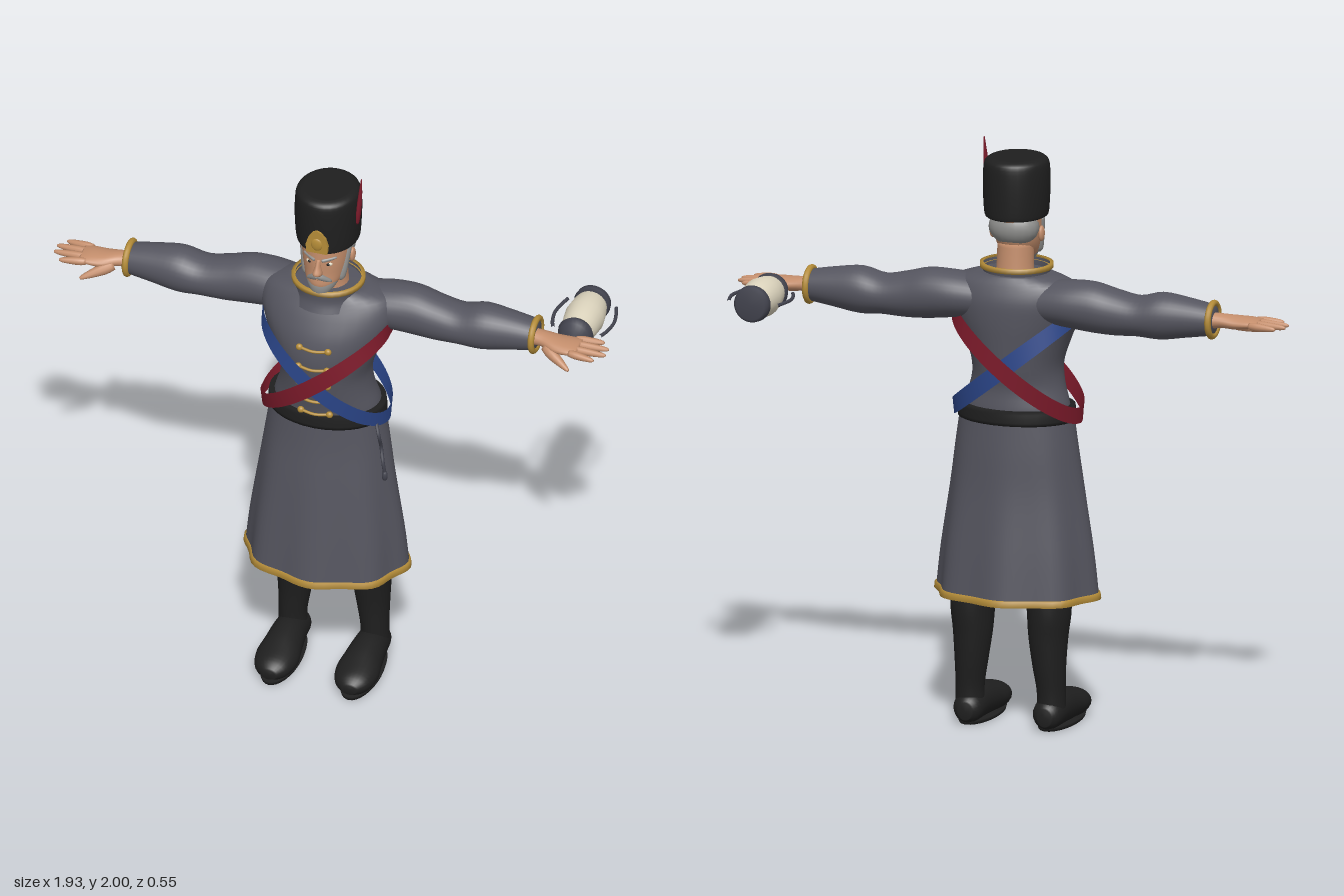
import * as THREE from 'three';

const mat = (name, color, side = THREE.FrontSide) => {
  const m = new THREE.MeshStandardMaterial({ color, side });
  m.name = name;
  return m;
};

// Smooth skin over elliptical rings [height, centreU, centreV, radiusU, radiusV]
function loft(rings, { n = 32, sub = 4, caps = true, wave = () => 1 } = {}) {
  const rows = [];
  for (let i = 0; i < rings.length - 1; i++) {
    const [a, b, c, d] = [-1, 0, 1, 2].map(k => rings[Math.min(Math.max(i + k, 0), rings.length - 1)]);
    for (let s = 0; s < sub; s++) {
      const t = s / sub;
      rows.push(b.map((_, k) => 0.5 * (2 * b[k] + (c[k] - a[k]) * t
        + (2 * a[k] - 5 * b[k] + 4 * c[k] - d[k]) * t * t
        + (3 * b[k] - a[k] - 3 * c[k] + d[k]) * t * t * t)));
    }
  }
  rows.push(rings[rings.length - 1]);
  if (caps) {
    const flat = r => [r[0], r[1], r[2], 0.0005, 0.0005];
    rows.unshift(flat(rows[0]));
    rows.push(flat(rows[rows.length - 1]));
  }
  const pos = [], idx = [];
  rows.forEach(([y, u, v, ru, rv], i) => {
    for (let j = 0; j < n; j++) {
      const a = j / n * Math.PI * 2, w = wave(a, y);
      pos.push(u + ru * w * Math.cos(a), y, v + rv * w * Math.sin(a));
      if (i === rows.length - 1) continue;
      const p = i * n + j, q = i * n + (j + 1) % n;
      idx.push(p, p + n, q, q, p + n, q + n);
    }
  });
  const g = new THREE.BufferGeometry();
  g.setAttribute('position', new THREE.Float32BufferAttribute(pos, 3));
  g.setIndex(idx);
  g.computeVertexNormals();
  return g;
}

const ball = (x, y, z, rx, ry, rz) => new THREE.SphereGeometry(1, 20, 14).scale(rx, ry, rz).translate(x, y, z);
const tube = (pts, r, seg = 20) =>
  new THREE.TubeGeometry(new THREE.CatmullRomCurve3(pts.map(p => new THREE.Vector3(...p))), seg, r, 8);

// Rounded tapering rod between two points
function rod(a, b, r0, r1) {
  const d = new THREE.Vector3(...b).sub(new THREE.Vector3(...a)), L = d.length();
  const g = loft([[0, 0, 0, r0 * 0.8, r0 * 0.8], [L * 0.3, 0, 0, r0, r0], [L * 0.85, 0, 0, r1, r1], [L, 0, 0, r1 * 0.4, r1 * 0.4]], { n: 10, sub: 3 });
  g.applyQuaternion(new THREE.Quaternion().setFromUnitVectors(new THREE.Vector3(0, 1, 0), d.normalize()));
  return g.translate(...a);
}

function mirrored(g) {
  const m = g.clone().scale(-1, 1, 1), ix = m.index;
  for (let i = 0; i < ix.count; i += 3) {
    const t = ix.getX(i);
    ix.setX(i, ix.getX(i + 1));
    ix.setX(i + 1, t);
  }
  return m;
}

// Flat sash looping from one armpit to the opposite hip
function sash(side) {
  const n = 64, pos = [], idx = [], w = 0.028;
  for (let i = 0; i < n; i++) {
    const a = i / n * Math.PI * 2, c = Math.cos(a), s = Math.sin(a);
    const x = side * 0.22 * c, y = 1.245 - 0.175 * c, z = 0.06 + 0.177 * s;
    pos.push(x - side * w * 0.4 * Math.abs(s), y - w, z, x + side * w * 0.4 * Math.abs(s), y + w, z);
    const p = 2 * i, q = 2 * ((i + 1) % n);
    idx.push(p, p + 1, q, q, p + 1, q + 1);
  }
  const g = new THREE.BufferGeometry();
  g.setAttribute('position', new THREE.Float32BufferAttribute(pos, 3));
  g.setIndex(idx);
  g.computeVertexNormals();
  return g;
}

export function createModel() {
  const root = new THREE.Group();
  const D = THREE.DoubleSide;
  const coat = mat('coat grey', 0x55555f, D), black = mat('black', 0x1f1f1f), gold = mat('gold', 0xb48c38, D),
    skin = mat('skin', 0xc48e6c), hair = mat('hair grey', 0x8e8e8c), red = mat('red', 0x7c1a2a, D),
    blue = mat('blue', 0x2b468a, D), cream = mat('cream', 0xddd5be), iron = mat('iron grey', 0x42434e);
  const add = (name, g, m) => {
    const mesh = new THREE.Mesh(g, m);
    mesh.name = name;
    root.add(mesh);
  };
  const pair = (name, g, m) => { add('left ' + name, g, m); add('right ' + name, mirrored(g), m); };

  // Coat body, belt and flared skirt with soft folds
  add('torso', loft([[1.05, 0, .05, .185, .135], [1.1, 0, .05, .182, .135], [1.17, 0, .06, .16, .138], [1.24, 0, .06, .155, .15],
    [1.32, 0, .06, .18, .157], [1.4, 0, .05, .215, .152], [1.47, 0, .035, .235, .135], [1.525, 0, .028, .215, .11], [1.555, 0, .03, .13, .095]]), coat);
  add('belt', loft([[1.05, 0, .05, .203, .15], [1.075, 0, .05, .203, .15], [1.1, 0, .05, .2, .148]], { sub: 2 }), black);
  const wave = (a, y) => 1 + 0.035 * Math.cos(8 * (a - Math.PI / 2)) * Math.max(0, (1.06 - y) / 0.62);
  add('skirt', loft([[.445, 0, .055, .275, .206], [.6, 0, .055, .26, .19], [.8, 0, .055, .232, .167], [.95, 0, .05, .212, .152], [1.07, 0, .05, .195, .142]],
    { n: 64, caps: false, wave }), coat);
  add('skirt hem', loft([[.438, 0, .055, .274, .205], [.44, 0, .055, .282, .212], [.46, 0, .055, .28, .21], [.463, 0, .055, .272, .203]],
    { n: 64, sub: 1, caps: false, wave }), gold);

  // Standing collar
  add('collar', loft([[1.5, 0, .05, .122, .118], [1.535, 0, .047, .112, .108], [1.575, 0, .045, .118, .11]], { caps: false }), coat);
  add('collar trim', loft([[1.566, 0, .045, .112, .104], [1.566, 0, .045, .124, .116], [1.582, 0, .045, .124, .116], [1.582, 0, .045, .112, .104]],
    { sub: 1, caps: false }), gold);

  // Sashes
  add('blue sash', sash(1), blue);
  add('red sash', sash(-1).scale(1.01, 1, 1.02), red);

  // Button rows joined by cords
  [[1.38, .207], [1.31, .218], [1.24, .212], [1.17, .203], [1.11, .19]].forEach(([y, z]) => {
    pair('button', ball(.05, y, z, .012, .012, .01), gold);
    add('button cord', tube([[-.05, y, z], [0, y - .004, z + .008], [.05, y, z]], .005, 8), gold);
  });

  // Belt cord with tassel
  add('belt cord', tube([[.19, 1.07, .12], [.21, 1.03, .15], [.212, .97, .13], [.225, .92, .15], [.23, .88, .148]], .006), iron);
  add('cord tassel', ball(.23, .87, .148, .01, .02, .01), iron);

  // Sleeves and cuffs, lofted upright then laid along x
  const along = (rings, o) => loft(rings, o).rotateZ(-Math.PI / 2).translate(0, 1.45, 0);
  pair('sleeve', along([[.1, -.015, .005, .07, .085], [.2, -.018, -.005, .08, .09], [.29, -.014, -.008, .086, .085], [.37, -.002, -.005, .078, .08],
    [.45, .004, -.003, .069, .078], [.53, -.003, -.003, .08, .08], [.62, -.005, -.004, .068, .068], [.715, -.004, -.005, .052, .055]]), coat);
  pair('cuff', new THREE.TorusGeometry(.056, .011, 10, 28).rotateY(Math.PI / 2).translate(.71, 1.455, -.004), gold);

  // Hands
  pair('palm', along([[.69, 0, 0, .03, .032], [.74, -.002, .005, .024, .034], [.79, .002, .015, .023, .046], [.84, 0, .017, .018, .05], [.87, -.002, .017, .01, .045]], { n: 20 }), skin);
  [[-.026, .94, -.038], [.003, .965, -.005], [.032, .965, .03], [.058, .935, .07]].forEach(([z, x, z2]) =>
    pair('finger', rod([.845, 1.45, z], [x, 1.447, z2], .014, .009), skin));
  pair('thumb', rod([.755, 1.44, .035], [.855, 1.405, .095], .02, .01), skin);

  // Legs and shoes
  pair('leg', loft([[.06, .143, -.015, .05, .05], [.13, .143, -.015, .048, .053], [.22, .137, -.018, .056, .062], [.32, .133, -.015, .066, .075], [.42, .134, -.01, .074, .088], [.6, .12, 0, .078, .09]]), black);
  const shoe = loft([[-.08, .14, -.05, .025, .03], [-.05, .14, -.055, .05, .05], [.03, .141, -.062, .058, .06], [.1, .14, -.058, .066, .058],
    [.17, .14, -.05, .074, .05], [.23, .14, -.045, .058, .038], [.262, .14, -.042, .025, .018]], { n: 24 }).rotateX(Math.PI / 2);
  const sp = shoe.attributes.position;
  for (let i = 0; i < sp.count; i++) sp.setY(i, Math.max(sp.getY(i), .008));
  shoe.computeVertexNormals();
  pair('shoe', shoe, black);
  pair('sole', loft([[0, .14, .1, .062, .16], [.014, .14, .1, .066, .163]], { sub: 1 }), black);

  // Head and face
  add('neck', loft([[1.5, 0, .03, .075, .07], [1.57, 0, .03, .063, .062], [1.66, 0, .04, .062, .065]]), skin);
  add('head', loft([[1.585, 0, .11, .03, .04], [1.61, 0, .09, .058, .072], [1.65, 0, .068, .073, .09], [1.7, 0, .06, .081, .098], [1.77, 0, .055, .084, .1]]), skin);
  add('nose', loft([[1.66, 0, .16, .016, .02], [1.67, 0, .166, .016, .022], [1.69, 0, .158, .01, .018], [1.715, 0, .15, .008, .012]], { n: 12 }), skin);
  pair('ear', ball(.086, 1.685, .05, .01, .027, .018), skin);
  pair('eye', ball(.032, 1.698, .143, .014, .008, .008), cream);
  pair('pupil', ball(.032, 1.698, .149, .006, .006, .004), black);
  pair('eyebrow', rod([.012, 1.713, .157], [.058, 1.722, .132], .007, .005), hair);
  add('back hair', ball(0, 1.71, .018, .087, .065, .066), hair);
  pair('sideburn', rod([.08, 1.74, .07], [.058, 1.61, .1], .014, .016), hair);
  add('beard', loft([[1.558, 0, .14, .012, .012], [1.58, 0, .125, .036, .036], [1.605, 0, .11, .053, .052], [1.63, 0, .1, .06, .055]]), hair);
  pair('moustache', rod([0, 1.655, .166], [.042, 1.628, .143], .011, .007), hair);
  add('lips', ball(0, 1.638, .156, .018, .006, .008), skin);

  // Tall fur hat with badge and plume
  add('hat', loft([[1.745, 0, .045, .1, .116], [1.76, 0, .045, .107, .12], [1.85, 0, .045, .112, .122], [1.92, 0, .045, .109, .119], [1.94, 0, .045, .098, .108], [1.947, 0, .045, .08, .088]]), black);
  const shape = new THREE.Shape();
  shape.moveTo(-.036, 0).lineTo(.036, 0).lineTo(.039, .03).lineTo(.03, .06).lineTo(.015, .082)
    .lineTo(0, .09).lineTo(-.015, .082).lineTo(-.03, .06).lineTo(-.039, .03);
  add('hat badge', new THREE.ExtrudeGeometry(shape, { depth: .012, bevelEnabled: false }).translate(0, 1.755, .162), gold);
  add('badge boss', ball(0, 1.79, .173, .02, .024, .007), gold);
  add('plume', loft([[1.83, .108, .068, .006, .008], [1.87, .111, .066, .009, .014], [1.93, .115, .06, .007, .011], [2, .118, .053, .002, .004]], { n: 12 }), red);

  // Lantern lying along z beside the left hand
  const turned = pts => new THREE.LatheGeometry(pts.map(p => new THREE.Vector2(...p)), 28).rotateX(Math.PI / 2).translate(.828, 1.438, 0);
  add('lantern glass', turned([[.052, -.25], [.06, -.22], [.067, -.165], [.06, -.11], [.052, -.07]]), cream);
  add('lantern base', turned([[0, -.28], [.05, -.28], [.06, -.27], [.063, -.25], [.055, -.243], [0, -.243]]), iron);
  add('lantern cap', turned([[0, -.085], [.055, -.085], [.062, -.072], [.055, -.05], [.04, -.032], [0, -.026]]), iron);
  [-1, 1].forEach(s => add('lantern handle', tube([[.828 + s * .085, 1.438, -.25], [.828 + s * .094, 1.438, -.22], [.828 + s * .103, 1.438, -.165],
    [.828 + s * .094, 1.438, -.11], [.828 + s * .082, 1.438, -.08]], .006), iron));

  return root;
}
